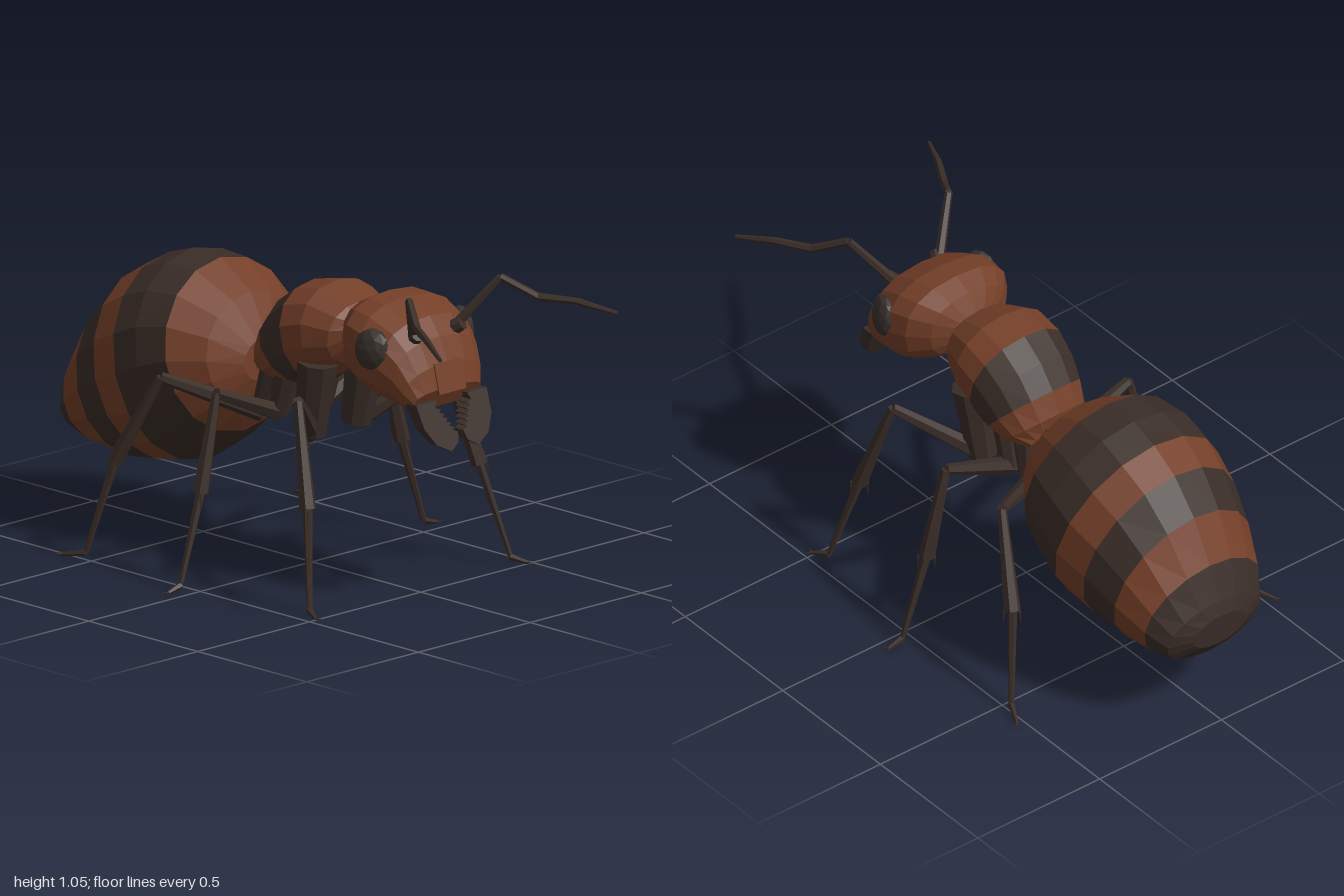
import * as THREE from 'three';

const V = (x, y, z) => new THREE.Vector3(x, y, z);

export function createModel() {
  const root = new THREE.Group();
  root.name = 'ant';
  const mat = (name, color) => {
    const m = new THREE.MeshStandardMaterial({ color });
    m.name = name;
    return m;
  };
  const brown = mat('rust brown', 0x743f28);
  const dark = mat('dark brown', 0x3a2d27);
  const eyeMat = mat('eye grey', 0x38302b);

  // faceted mesh: unshared vertices give one normal per face
  const add = (name, geo, material, parent = root) => {
    const g = geo.index ? geo.toNonIndexed() : geo;
    g.computeVertexNormals();
    const m = new THREE.Mesh(g, material);
    m.name = name;
    parent.add(m);
    return m;
  };

  // body section: rings listed front to back as [topZ, topY, bottomZ, bottomY, halfWidth]
  // bands[i] is the material index between ring i and i + 1
  const loft = (name, rings, bands, sides, power = 1) => {
    const pos = [];
    const soft = v => Math.sign(v) * Math.abs(v) ** power;
    const pts = rings.map(([tz, ty, bz, by, w]) => Array.from({ length: sides }, (_, j) => {
      const a = j / sides * Math.PI * 2, c = soft(Math.cos(a)), s = soft(Math.sin(a));
      return V(w * s, (ty + by) / 2 + (ty - by) / 2 * c, (tz + bz) / 2 + (tz - bz) / 2 * c);
    }));
    const mid = ([tz, ty, bz, by]) => V(0, (ty + by) / 2, (tz + bz) / 2);
    const geo = new THREE.BufferGeometry();
    const tri = (...p) => p.forEach(v => pos.push(v.x, v.y, v.z));
    const last = rings.length - 1;
    for (let i = 0; i < last; i++) {
      const start = pos.length / 3;
      for (let j = 0; j < sides; j++) {
        const k = (j + 1) % sides, A = pts[i], B = pts[i + 1];
        tri(A[j], A[k], B[j]);
        tri(A[k], B[k], B[j]);
        if (i === 0) tri(mid(rings[0]), A[k], A[j]);
        if (i === last - 1) tri(mid(rings[last]), B[j], B[k]);
      }
      geo.addGroup(start, pos.length / 3 - start, bands[i]);
    }
    geo.setAttribute('position', new THREE.Float32BufferAttribute(pos, 3));
    return add(name, geo, [brown, dark]);
  };

  // tapered rod between two points
  const rod = (name, a, b, ra, rb, parent = root, sides = 6) => {
    const d = b.clone().sub(a);
    const m = add(name, new THREE.CylinderGeometry(rb, ra, d.length(), sides), dark, parent);
    m.position.copy(a).addScaledVector(d, 0.5);
    m.quaternion.setFromUnitVectors(V(0, 1, 0), d.normalize());
    return m;
  };

  loft('head', [
    [0.64, 0.715, 0.6, 0.645, 0.15],
    [0.622, 0.79, 0.57, 0.632, 0.172],
    [0.585, 0.87, 0.54, 0.635, 0.19],
    [0.54, 0.93, 0.49, 0.645, 0.21],
    [0.44, 0.975, 0.43, 0.66, 0.225],
    [0.36, 0.98, 0.36, 0.69, 0.21],
    [0.295, 0.95, 0.3, 0.73, 0.155],
    [0.262, 0.89, 0.262, 0.78, 0.08],
  ], [0, 0, 0, 0, 0, 0, 0], 16, 0.8);

  loft('thorax', [
    [0.27, 0.88, 0.26, 0.78, 0.09],
    [0.235, 0.92, 0.21, 0.71, 0.15],
    [0.12, 0.965, 0.15, 0.665, 0.185],
    [0.01, 0.945, 0.09, 0.63, 0.19],
    [-0.075, 0.885, 0.07, 0.615, 0.183],
    [-0.135, 0.81, 0.055, 0.605, 0.172],
    [-0.165, 0.735, -0.03, 0.6, 0.15],
    [-0.16, 0.67, -0.13, 0.61, 0.1],
  ], [0, 0, 0, 1, 1, 0, 0], 14, 0.9);

  // waist between thorax and abdomen
  loft('waist', [
    [-0.11, 0.69, -0.11, 0.6, 0.06],
    [-0.17, 0.715, -0.17, 0.61, 0.07],
    [-0.2, 0.69, -0.2, 0.6, 0.06],
    [-0.25, 0.68, -0.25, 0.58, 0.05],
  ], [0, 0, 0], 8);

  loft('abdomen', [
    [-0.21, 0.71, -0.205, 0.56, 0.1],
    [-0.28, 0.845, -0.24, 0.47, 0.22],
    [-0.42, 0.93, -0.31, 0.375, 0.3],
    [-0.55, 0.935, -0.39, 0.305, 0.327],
    [-0.655, 0.9, -0.475, 0.245, 0.33],
    [-0.76, 0.84, -0.6, 0.222, 0.308],
    [-0.86, 0.73, -0.73, 0.207, 0.275],
    [-0.94, 0.585, -0.86, 0.22, 0.235],
    [-0.985, 0.47, -0.935, 0.24, 0.19],
    [-1.0, 0.42, -0.985, 0.3, 0.11],
  ], [0, 0, 1, 1, 0, 1, 0, 1, 1], 16);

  // face plate above the jaws
  const plate = add('facePlate', new THREE.BoxGeometry(0.12, 0.1, 0.015), brown);
  plate.position.set(0, 0.745, 0.628);
  plate.rotation.x = -0.25;

  // leg joints: coxa top, coxa end, knee, ankle, foot, toe (model's left)
  const legs = {
    front: [[0.11, 0.72, 0.14], [0.1, 0.47, 0.1], [0.33, 0.655, 0.275],
      [0.385, 0.325, 0.375], [0.45, 0.02, 0.45], [0.475, 0.006, 0.505]],
    middle: [[0.09, 0.67, -0.01], [0.1, 0.51, -0.05], [0.375, 0.625, -0.055],
      [0.45, 0.31, -0.05], [0.545, 0.02, -0.045], [0.6, 0.006, -0.045]],
    rear: [[0.07, 0.66, -0.09], [0.09, 0.49, -0.135], [0.36, 0.62, -0.325],
      [0.43, 0.325, -0.465], [0.49, 0.02, -0.535], [0.53, 0.006, -0.615]],
  };
  const antenna = [[0.09, 0.88, 0.56], [0.205, 1.042, 0.655], [0.272, 0.982, 0.76],
    [0.335, 0.978, 0.87], [0.397, 0.95, 0.995]];

  for (const s of [1, -1]) {
    const side = s > 0 ? 'left' : 'right';
    const part = name => {
      const g = new THREE.Group();
      g.name = side + name;
      root.add(g);
      return g;
    };
    const flip = p => V(s * p[0], p[1], p[2]);

    for (const [which, joints] of Object.entries(legs)) {
      const g = part(which[0].toUpperCase() + which.slice(1) + 'Leg');
      const [c, h, k, a, f, t] = joints.map(flip);
      const big = which === 'front' ? 1.4 : 1;
      rod('coxa', c, h, 0.05 * big, 0.036 * big, g, 8);
      rod('femur', h, k, 0.032, 0.018, g);
      rod('tibia', k, a, 0.015, 0.028, g);
      rod('tarsus', a, f, 0.016, 0.009, g);
      rod('foot', f, t, 0.012, 0.006, g, 5);
      // spurs at the ankle and claws at the toe
      for (const e of [-1, 1]) {
        const o = V(0.018 * e, 0, 0.018 * e * s);
        rod('spur', a.clone().add(o), a.clone().add(V(0.02 * e, -0.05, 0.02 * e * s)), 0.006, 0.001, g, 4);
        const out = t.clone().sub(f).setY(0).normalize();
        const claw = t.clone().addScaledVector(out, 0.015).add(V(-out.z * 0.012 * e, 0.002, out.x * 0.012 * e));
        rod('claw', t, claw, 0.004, 0.001, g, 4);
      }
    }

    // elbowed antenna with its socket
    const ant = part('Antenna');
    const p = antenna.map(flip), r = [0.018, 0.013, 0.014, 0.012, 0.007];
    for (let i = 0; i < 4; i++) rod('antennaSegment', p[i], p[i + 1], r[i], r[i + 1], ant);
    rod('antennaSocket', flip([0.085, 0.872, 0.55]), flip([0.1, 0.895, 0.59]), 0.03, 0.022, ant, 8);

    // eye
    const eye = add(side + 'Eye', new THREE.IcosahedronGeometry(1, 1), eyeMat);
    eye.scale.set(0.035, 0.07, 0.062);
    eye.position.set(s * 0.2, 0.845, 0.48);
    eye.rotation.set(0, s * -0.3, s * 0.12);

    // toothed jaw, leaning forward towards its tip
    const outline = [[0.07, 0.68], [0.158, 0.68], [0.15, 0.605], [0.115, 0.55], [0.06, 0.522], [0.02, 0.545]];
    for (let i = 0; i < 6; i++) {
      const u = i / 6;
      outline.push([0.012 + 0.055 * u, 0.575 + 0.09 * u], [0.034 + 0.055 * u, 0.582 + 0.09 * u]);
    }
    const shape = new THREE.Shape(outline.map(([x, y]) => new THREE.Vector2(s * x, y)));
    const jaw = new THREE.ExtrudeGeometry(shape, { depth: 1, bevelEnabled: false });
    const q = jaw.attributes.position;
    for (let i = 0; i < q.count; i++) {
      const drop = 0.68 - q.getY(i);
      q.setZ(i, 0.585 + drop * 0.55 + q.getZ(i) * (0.055 - drop * 0.15));
    }
    add(side + 'Jaw', jaw, dark);
  }
  return root;
}
